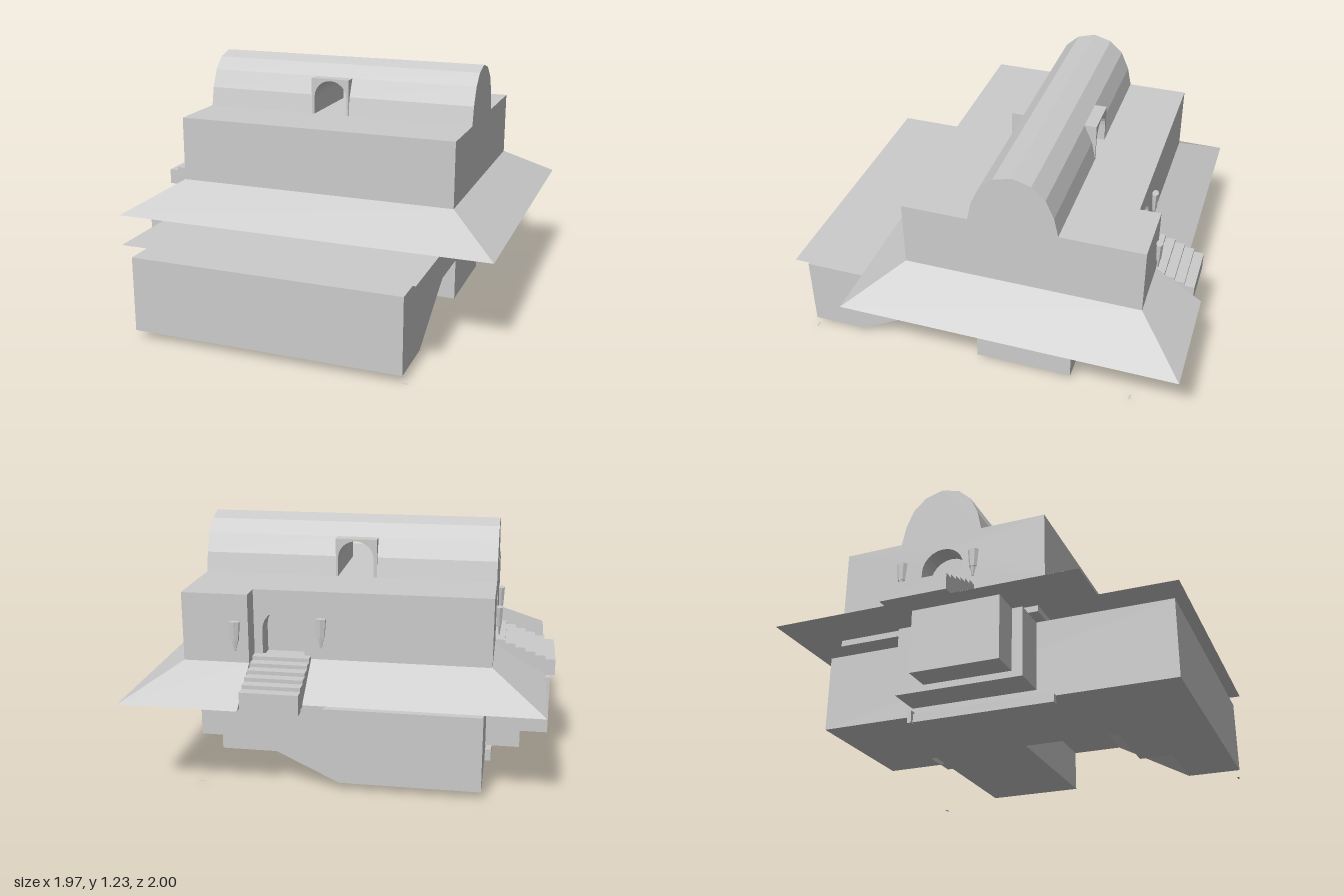
import * as THREE from 'three';

const material = new THREE.MeshStandardMaterial({ color: 0xcccccc, flatShading: true, side: THREE.DoubleSide });

export function createModel() {
  const model = new THREE.Group();

  const add = (name, geometry) => {
    const mesh = new THREE.Mesh(geometry, material);
    mesh.name = name;
    model.add(mesh);
    return mesh;
  };
  const box = (name, x0, x1, y0, y1, z0, z1) =>
    add(name, new THREE.BoxGeometry(x1 - x0, y1 - y0, z1 - z0)
      .translate((x0 + x1) / 2, (y0 + y1) / 2, (z0 + z1) / 2));
  const outline = (pts) => new THREE.Shape(pts.map(([a, b]) => new THREE.Vector2(a, b)));
  // Extrude an outline along an axis: z takes (x, y), x takes (z, y), y takes (x, z)
  const prism = (name, axis, shape, from, to) => {
    const g = new THREE.ExtrudeGeometry(shape, { depth: to - from, bevelEnabled: false, curveSegments: 6 });
    if (axis === 'x') g.rotateY(-Math.PI / 2).translate(to, 0, 0);
    else if (axis === 'y') g.rotateX(Math.PI / 2).translate(0, to, 0);
    else g.translate(0, 0, from);
    return add(name, g);
  };
  // Rectangular wall with an arched doorway open at the bottom
  const archWall = (a0, a1, y0, y1, centre, half, spring) => {
    const s = new THREE.Shape();
    s.moveTo(a0, y0);
    s.lineTo(centre - half, y0);
    s.lineTo(centre - half, spring);
    s.absarc(centre, spring, half, Math.PI, 0, true);
    s.lineTo(centre + half, y0);
    s.lineTo(a1, y0);
    s.lineTo(a1, y1);
    s.lineTo(a0, y1);
    return s;
  };

  // Upper storey with doorways on the back and the right
  box('upperBody', -0.59, 0.73, 0.63, 0.955, -0.57, 0.385);
  box('backBay', 0.42, 0.73, 0.63, 0.955, -0.77, -0.57);
  prism('backDoorWall', 'z', archWall(-0.59, 0.42, 0.63, 0.955, 0.28, 0.1, 0.76), -0.67, -0.57);
  prism('sideDoorWall', 'x', archWall(-0.67, 0.385, 0.63, 0.955, -0.14, 0.11, 0.77), -0.69, -0.59);

  // Barrel vault, split by a cross passage
  const half = [[0.215, 0.955], [0.195, 1.05], [0.155, 1.14], [0.09, 1.2]];
  const mid = -0.155;
  const vault = (pts) => outline([
    ...pts.map(([d, y]) => [mid + d, y]), [mid, 1.225],
    ...pts.slice().reverse().map(([d, y]) => [mid - d, y])]);
  prism('vaultRight', 'x', vault(half), -0.69, -0.1);
  prism('vaultLeft', 'x', vault(half), 0.075, 0.73);
  prism('vaultCap', 'x', vault(half.slice(2)), -0.1, 0.075);
  prism('archDormer', 'z', archWall(-0.115, 0.085, 0.955, 1.14, -0.0125, 0.087, 1.043), -0.37, 0.06);

  // Skirt roof: sloping faces between two rings
  const inner = [[-0.69, 0.385], [0.73, 0.385], [0.73, -0.77], [0.42, -0.77], [0.42, -0.67], [-0.69, -0.67]];
  const outer = [[-0.94, 0.63], [0.98, 0.63], [0.98, -1], [0.42, -1], [0.42, -0.88], [-0.94, -0.88]];
  const positions = [];
  inner.forEach((a, i) => {
    const j = (i + 1) % inner.length;
    const [p, q, r, s] = [[outer[i], 0.48], [outer[j], 0.48], [inner[j], 0.63], [inner[i], 0.63]]
      .map(([v, y]) => [v[0], y, v[1]]);
    positions.push(...p, ...q, ...r, ...p, ...r, ...s);
  });
  const skirt = new THREE.BufferGeometry();
  skirt.setAttribute('position', new THREE.Float32BufferAttribute(positions, 3));
  skirt.computeVertexNormals();
  add('skirtRoof', skirt);
  add('skirtSoffit', new THREE.ShapeGeometry(outline(outer)).rotateX(Math.PI / 2).translate(0, 0.48, 0));
  add('frontCanopy', new THREE.PlaneGeometry(1.42, 0.38).rotateX(-Math.PI / 2).translate(0.02, 0.479, 0.81));

  // Stairs to both doors
  for (let i = 0; i < 6; i++) {
    const top = 0.56 + i * 0.018;
    const x = -0.985 + i * 0.049;
    box('sideStep', x, x + 0.049, 0.48, top, -0.3, 0.03);
    const z = -0.96 + i * 0.049;
    box('backStep', 0.15, 0.42, 0.46 + i * 0.012, top - 0.005, z, z + 0.049);
  }

  // Lamps beside the doors
  [[-0.708, -0.35, 0], [-0.708, 0.03, 0], [0.1, -0.685, 1], [0.48, -0.785, 1]].forEach(([x, z, back]) => {
    const lamp = new THREE.Group();
    lamp.name = 'wallLamp';
    const shade = new THREE.Mesh(new THREE.CylinderGeometry(0.028, 0.02, 0.09, 6), material);
    const bracket = new THREE.Mesh(new THREE.CylinderGeometry(0.016, 0.005, 0.05, 6), material);
    shade.name = 'lampShade';
    bracket.name = 'lampBracket';
    bracket.position.y = -0.07;
    lamp.add(shade, bracket);
    lamp.scale.set(back ? 1 : 0.62, 1, back ? 0.62 : 1);
    lamp.position.set(x, 0.785, z);
    model.add(lamp);
  });

  // Plinth between the storeys
  box('plinth', -0.69, 0.7, 0.45, 0.48, -0.67, 0.35);
  box('plinthBlock', 0.22, 0.37, 0.41, 0.45, 0.11, 0.33);

  // Lower storey with an undercut passage on the left
  box('lowerBody', -0.66, -0.1, 0.04, 0.41, -0.74, 0.97);
  box('lowerFront', -0.1, 0.3, 0.04, 0.41, 0.53, 0.97);
  box('passageCeiling', -0.1, 0.3, 0.25, 0.41, 0.06, 0.53);
  prism('frontUndercut', 'x', outline([[0.97, 0.04], [0.97, 0.41], [0.06, 0.41], [0.06, 0.25],
    [0.32, 0.25], [0.7, 0.04]]), 0.3, 0.67);
  prism('middleBlock', 'x', outline([[0.06, 0.04], [0.06, 0.41], [-0.09, 0.41], [-0.43, 0.23],
    [-0.43, 0.04]]), -0.1, 0.67);
  prism('backUndercut', 'z', outline([[-0.1, 0.04], [0.01, 0.04], [0.45, 0.25], [0.67, 0.25],
    [0.67, 0.48], [0.02, 0.48], [0.02, 0.45], [0.09, 0.41], [-0.1, 0.41]]), -0.74, -0.46);
  prism('backSlope', 'x', outline([[-0.46, 0.25], [-0.09, 0.45], [-0.09, 0.48], [-0.46, 0.48]]), 0.09, 0.67);

  // Side annexes and the sill beneath them
  box('annexOuter', -0.97, -0.83, 0.11, 0.41, -0.14, 0.28);
  box('annexInner', -0.83, -0.66, 0.08, 0.41, -0.28, 0.33);
  box('sill', -0.69, -0.66, 0, 0.04, -0.26, 0.42);
  box('sillPost', -0.69, -0.66, 0, 0.06, -0.29, -0.27);

  // Tiny corner tabs on the ground
  [-0.74, 0.96].forEach((z) => add('groundTab',
    new THREE.PlaneGeometry(0.03, 0.01).rotateX(-Math.PI / 2).translate(0.68, 0.001, z)));

  return model;
}
